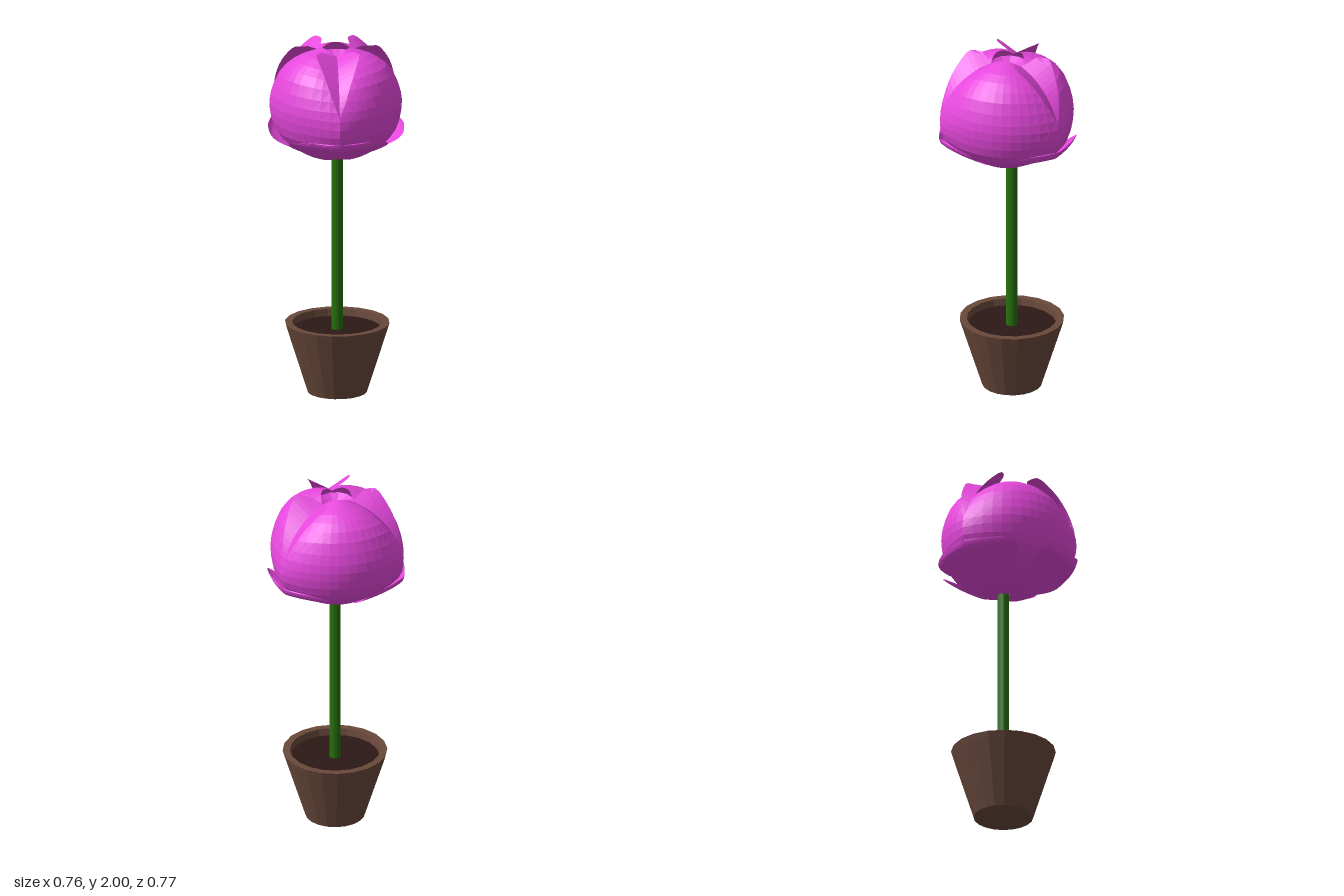
import * as THREE from 'three';

const curve = (pts) => new THREE.SplineCurve(pts.map(([r, y]) => new THREE.Vector2(r, y)));
const mat = (color) => new THREE.MeshStandardMaterial({ color, flatShading: true, side: THREE.DoubleSide });

// Surface from a rule fn(u, v) -> [x, y, z], with u in -1..1 and v in 0..1
function surface(fn, nu, nv) {
  const geo = new THREE.PlaneGeometry(1, 1, nu, nv);
  const p = geo.attributes.position;
  for (let j = 0; j <= nv; j++) {
    for (let i = 0; i <= nu; i++) p.setXYZ(j * (nu + 1) + i, ...fn((2 * i) / nu - 1, 1 - j / nv));
  }
  geo.computeVertexNormals();
  return geo;
}

// Petal profiles (radius, height): bulging centre line and side seam
const middle = curve([[0.02, 1.35], [0.13, 1.37], [0.24, 1.43], [0.32, 1.51], [0.355, 1.63],
  [0.352, 1.74], [0.3, 1.875], [0.2, 1.955], [0.08, 1.995]]);
const seam = curve([[0.02, 1.35], [0.13, 1.385], [0.27, 1.45], [0.365, 1.525], [0.393, 1.62],
  [0.37, 1.73], [0.3, 1.84], [0.2, 1.92], [0.1, 1.96]]);

// One third of the closed bud
function budPetal(u, v) {
  const p = middle.getPoint(v).lerp(seam.getPoint(v), Math.abs(u) ** 2.3);
  const a = (u * Math.PI) / 3;
  return [p.x * Math.sin(a), p.y, p.x * Math.cos(a)];
}

// Pair of lobes rising on both sides of a seam, narrow below and round on top
function seamLobes(u, v) {
  const p = seam.getPoint(0.58 + 0.42 * v);
  const width = v < 0.75 ? (v / 0.75) ** 0.9 : Math.sqrt(Math.max(0, 1 - ((v - 0.75) / 0.25) ** 2));
  const k = Math.abs(u) * width;
  return [0.12 * Math.sign(u) * k, Math.min(2, p.y + 0.065 * k), p.x + 0.02 * k];
}

// Folded outer petal: a straight rising crease, its two wings sweep back around the bud
const crease = curve([[0.03, 1.35], [0.15, 1.39], [0.28, 1.445], [0.375, 1.495], [0.4, 1.54]]);
function outerPetal(u, v) {
  const p = crease.getPoint(v);
  const t = v < 0.75 ? Math.sin(((v / 0.75) * Math.PI) / 2) ** 1.4 : Math.sqrt(1 - ((v - 0.75) / 0.25) ** 2);
  const w = 0.275 * t * Math.abs(u);
  return [w * Math.sign(u), p.y + 0.04 * w, p.x - 0.2 * w - 0.9 * w * w];
}

export function createModel() {
  const model = new THREE.Group();
  const add = (parent, name, geo, material) => {
    const mesh = new THREE.Mesh(geo, material);
    mesh.name = name;
    parent.add(mesh);
    return mesh;
  };

  // Pot with thick rim, soil and stem share one axis
  const planter = new THREE.Group();
  planter.name = 'planter';
  planter.position.set(0.01, 0, -0.015);
  model.add(planter);
  const potProfile = [[0, 0], [0.165, 0], [0.28, 0.365], [0.29, 0.4], [0.25, 0.4], [0.242, 0.33]]
    .map(([r, y]) => new THREE.Vector2(r, y));
  add(planter, 'pot', new THREE.LatheGeometry(potProfile, 20), mat(0x6a493b));
  const soil = add(planter, 'soil', new THREE.CircleGeometry(0.246, 20), mat(0x2c1918));
  soil.rotation.x = -Math.PI / 2;
  soil.position.y = 0.36;
  const stem = add(planter, 'stem', new THREE.CylinderGeometry(0.032, 0.032, 1.03, 12), mat(0x26700c));
  stem.position.y = 0.865;

  // Bloom with three-fold symmetry
  const bloom = new THREE.Group();
  bloom.name = 'bloom';
  model.add(bloom);
  const pink = mat(0xe648dd);
  const petalGeo = surface(budPetal, 14, 18);
  const lobeGeo = surface(seamLobes, 8, 14);
  const outerGeo = surface(outerPetal, 12, 16);
  const start = THREE.MathUtils.degToRad(-9);
  for (let i = 0; i < 3; i++) {
    const a = start + (i * 2 * Math.PI) / 3;
    add(bloom, 'budPetal', petalGeo, pink).rotation.y = a + Math.PI / 3;
    add(bloom, 'seamLobes', lobeGeo, pink).rotation.y = a;
    add(bloom, 'outerPetal', outerGeo, pink).rotation.y = a;
  }

  // Sunken heart closing the opening on top
  const heart = add(bloom, 'heart', new THREE.ConeGeometry(0.1, 0.06, 12, 1, true), pink);
  heart.rotation.x = Math.PI;
  heart.position.y = 1.92;
  return model;
}
